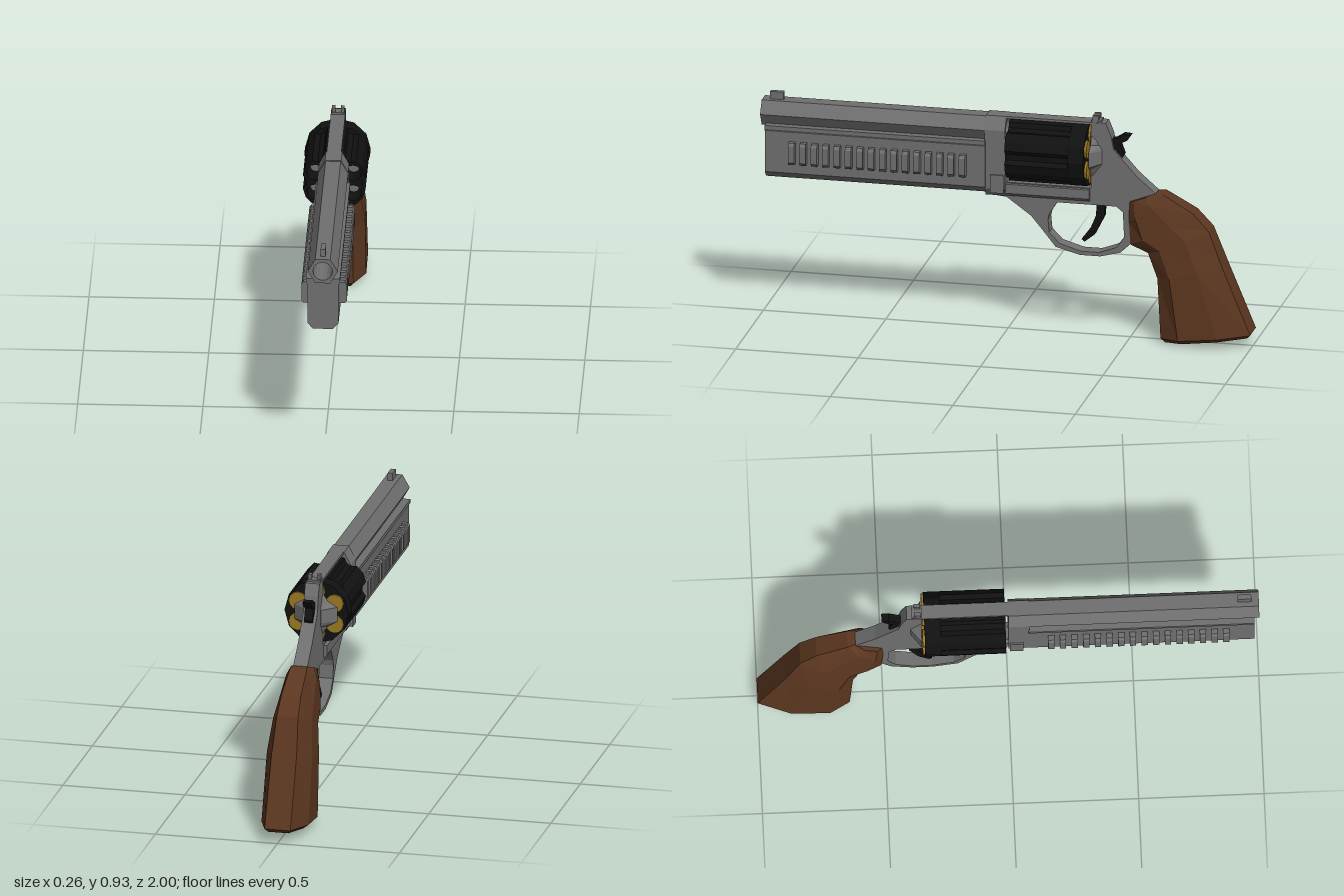
import * as THREE from 'three';

const mat = (color) => {
  const m = new THREE.MeshStandardMaterial({ color });
  m.flatShading = true;
  return m;
};

export function createModel() {
  const root = new THREE.Group();
  const steel = mat(0x707070), black = mat(0x111111), wood = mat(0x5c3720), brass = mat(0x9a7a24);

  const add = (name, geometry, material, parent = root) => {
    const mesh = new THREE.Mesh(geometry, material);
    mesh.name = name;
    parent.add(mesh);
    return mesh;
  };
  const group = (name) => {
    const g = new THREE.Group();
    g.name = name;
    root.add(g);
    return g;
  };
  const outline = (pts) => new THREE.Shape(pts.map(([a, b]) => new THREE.Vector2(a, b)));
  const circle = (x, y, r, n) => Array.from({ length: n }, (_, i) => {
    const a = (i / n) * Math.PI * 2;
    return [x + r * Math.cos(a), y + r * Math.sin(a)];
  });
  const mirrored = (half) => [...half, ...half.map(([x, y]) => [-x, y]).reverse()];
  // (x, y) profile extruded along z
  const prism = (pts, z0, z1, holes = []) => {
    const s = outline(pts);
    s.holes = holes.map(outline);
    return new THREE.ExtrudeGeometry(s, { depth: z1 - z0, bevelEnabled: false }).translate(0, 0, z0);
  };
  // (z, y) side outline extruded across x
  const plate = (pts, width, holes = []) => prism(pts, -width / 2, width / 2, holes).rotateY(-Math.PI / 2);
  const box = (w, y0, y1, z0, z1, x = 0) =>
    new THREE.BoxGeometry(w, y1 - y0, z1 - z0).translate(x, (y0 + y1) / 2, (z0 + z1) / 2);
  // Closed loft through rings of equal point count, listed top to bottom, counterclockwise from above
  const loft = (rings) => {
    const n = rings[0].length, idx = [];
    for (let r = 0; r < rings.length - 1; r++) {
      for (let i = 0; i < n; i++) {
        const a = r * n + i, b = r * n + (i + 1) % n;
        idx.push(a, a + n, b + n, a, b + n, b);
      }
    }
    const last = (rings.length - 1) * n;
    for (let i = 1; i < n - 1; i++) idx.push(0, i, i + 1, last, last + i + 1, last + i);
    const g = new THREE.BufferGeometry();
    g.setAttribute('position', new THREE.Float32BufferAttribute(rings.flat(2), 3));
    g.setIndex(idx);
    const flat = g.toNonIndexed();
    flat.computeVertexNormals();
    return flat;
  };

  // Hexagonal barrel with open bore, and the full-length lug below it
  const boreY = 0.842, bore = circle(0, boreY, 0.039, 16);
  add('barrel', prism(circle(0, boreY, 0.06, 6), 0, 1, [bore]), steel);
  add('barrelLug', prism(mirrored([[0.04, 0.58], [0.062, 0.605], [0.062, 0.775], [0.068, 0.785], [0.068, 0.8]]),
    0.08, 0.98), steel);

  // Rows of ribs on both sides of the lug
  const ribs = group('lugRibs');
  const ribProfile = [[0.06, 0.647], [0.083, 0.647], [0.091, 0.658], [0.091, 0.726], [0.083, 0.738], [0.06, 0.738]];
  for (const side of [1, -1]) {
    for (let i = 0; i < 16; i++) {
      const z = 0.157 + i * 0.0465;
      add('rib', prism(ribProfile.map(([x, y]) => [side * x, y]), z, z + 0.025), steel, ribs);
    }
  }

  // Frame with cylinder window and trigger guard in one plate
  const frame = [[0.08, 0.568], [0.08, 0.78], [0, 0.78], [0, 0.622], [-0.345, 0.622], [-0.345, 0.888], [0.08, 0.888],
    [0.08, 0.898], [-0.405, 0.898], [-0.425, 0.85], [-0.437, 0.79], [-0.53, 0.686], [-0.61, 0.617], [-0.6, 0.5],
    [-0.52, 0.42], [-0.507, 0.4], [-0.465, 0.36], [-0.383, 0.338], [-0.3, 0.338], [-0.2, 0.365], [-0.153, 0.424],
    [-0.1, 0.488], [0, 0.56]];
  const guardHole = [[-0.169, 0.477], [-0.174, 0.424], [-0.217, 0.38], [-0.303, 0.354], [-0.378, 0.354],
    [-0.448, 0.38], [-0.48, 0.424], [-0.475, 0.53], [-0.448, 0.552], [-0.206, 0.552], [-0.174, 0.5]];
  add('frame', plate(frame, 0.058, [guardHole]), steel);
  add('frameFront', prism(mirrored([[0.04, 0.568], [0.06, 0.6], [0.06, 0.845], [0.032, 0.898]]), 0, 0.083, [bore]), steel);
  add('frameLowerRail', prism(mirrored([[0.035, 0.568], [0.045, 0.58], [0.045, 0.618]]), -0.34, 0), steel);
  add('craneLatch', box(0.134, 0.585, 0.66, 0.005, 0.06), steel);

  // Recoil shield tapering backwards, cut back beside the cartridges
  const axisY = 0.755;
  const shieldRing = mirrored([[0.03, -0.085], [0.05, -0.052], [0.088, -0.03], [0.088, 0.03], [0.05, 0.052], [0.03, 0.085]]);
  const shield = prism(shieldRing, -0.39, -0.347);
  const sp = shield.attributes.position;
  for (let i = 0; i < sp.count; i++) {
    if (sp.getZ(i) < -0.37) sp.setXY(i, sp.getX(i) * 0.35, sp.getY(i) * 0.9);
  }
  shield.translate(0, axisY, 0).computeVertexNormals();
  add('recoilShield', shield, steel);

  // Six-chamber cylinder, fluted in front with a plain rim behind
  const drum = group('cylinder');
  const chamberAt = (i) => {
    const a = Math.PI / 6 + (i * Math.PI) / 3;
    return [0.087 * Math.cos(a), axisY + 0.087 * Math.sin(a)];
  };
  const chambers = Array.from({ length: 6 }, (_, i) => circle(...chamberAt(i), 0.034, 12));
  const fluted = [];
  for (let i = 0; i < 6; i++) {
    for (const [deg, r] of [[-6, 0.112], [6, 0.112], [13, 0.128], [30, 0.131], [47, 0.128]]) {
      const a = ((deg + i * 60) * Math.PI) / 180;
      fluted.push([r * Math.cos(a), axisY + r * Math.sin(a)]);
    }
  }
  add('flutedBody', prism(fluted, -0.27, -0.012, chambers), black, drum);
  add('rearRim', prism(circle(0, axisY, 0.131, 12), -0.335, -0.27, chambers), black, drum);

  // Cartridges in the chambers
  const cartridges = group('cartridges');
  for (let i = 0; i < 6; i++) {
    const [x, y] = chamberAt(i);
    const rod = (r0, r1, z0, z1, n) =>
      new THREE.CylinderGeometry(r1, r0, z1 - z0, n).rotateX(Math.PI / 2).translate(x, y, (z0 + z1) / 2);
    add('case', rod(0.033, 0.033, -0.335, -0.13, 12), brass, cartridges);
    add('caseRim', rod(0.037, 0.037, -0.344, -0.335, 12), brass, cartridges);
    add('bullet', rod(0.03, 0.024, -0.13, -0.07, 8), steel, cartridges);
  }

  // Sights
  add('frontSight', box(0.02, 0.89, 0.925, 0.915, 0.97), steel);
  const rearSight = group('rearSight');
  add('sightBase', box(0.052, 0.895, 0.906, -0.385, -0.345), steel, rearSight);
  for (const x of [0.018, -0.018]) add('sightPost', box(0.014, 0.9, 0.925, -0.375, -0.35, x), steel, rearSight);

  // Hammer and trigger
  add('hammer', plate([[-0.4, 0.83], [-0.44, 0.83], [-0.475, 0.852], [-0.505, 0.85], [-0.49, 0.828], [-0.46, 0.812],
    [-0.477, 0.765], [-0.46, 0.74], [-0.4, 0.74]], 0.034), black);
  add('trigger', plate([[-0.365, 0.56], [-0.4, 0.56], [-0.395, 0.5], [-0.357, 0.424], [-0.315, 0.39], [-0.303, 0.4],
    [-0.34, 0.45], [-0.362, 0.504]], 0.03), black);

  // Grip: faceted sections given as front z, y, back z, y, half width
  const section = [[0.5, 0], [1, 0.22], [1, 0.65], [0.55, 1], [-0.55, 1], [-1, 0.65], [-1, 0.22], [-0.5, 0]];
  const gripRings = [
    [-0.497, 0.575, -0.612, 0.619, 0.046],
    [-0.5, 0.49, -0.64, 0.617, 0.062],
    [-0.507, 0.4, -0.765, 0.547, 0.072],
    [-0.58, 0.37, -0.83, 0.477, 0.079],
    [-0.62, 0.268, -0.885, 0.335, 0.093],
    [-0.633, 0.018, -1, 0.058, 0.096],
    [-0.65, 0, -0.985, 0.042, 0.075],
  ].map(([fz, fy, bz, by, w]) => section.map(([x, t]) => [x * w, fy + (by - fy) * t, fz + (bz - fz) * t]));
  add('grip', loft(gripRings), wood);

  return root;
}
